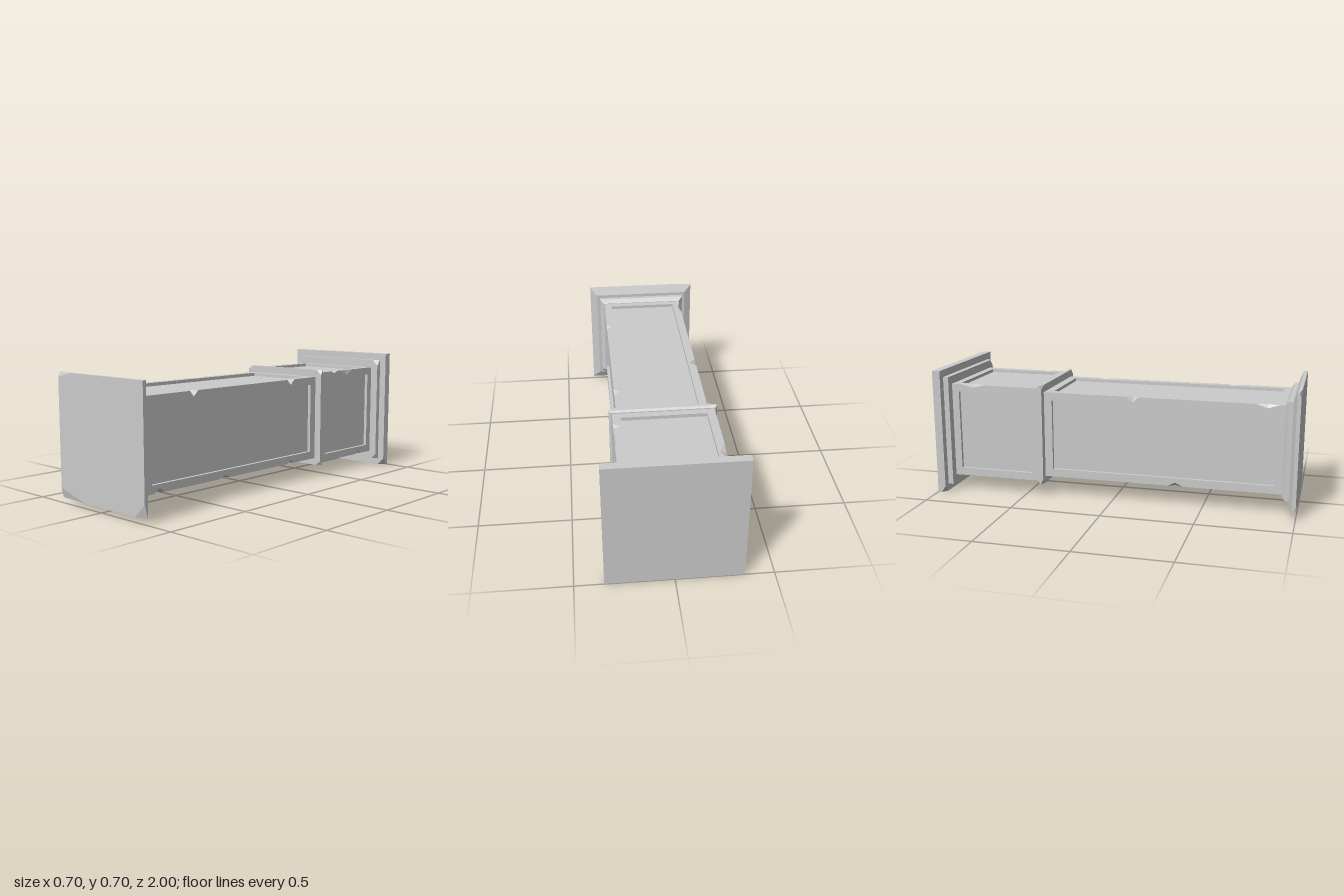
import * as THREE from 'three';
import { ConvexGeometry } from 'three/addons/geometries/ConvexGeometry.js';

const material = new THREE.MeshStandardMaterial({ color: 0xcccccc, flatShading: true });
const CENTRE_Y = 0.35;
const PANEL_DEPTH = 0.018;

function addMesh(group, name, geometry) {
  const mesh = new THREE.Mesh(geometry, material);
  mesh.name = name;
  mesh.position.y = CENTRE_Y;
  group.add(mesh);
}

// Square slab along z. profile: [z, halfWidth]; chops: [profileIndex, signX, signY, alongX, alongY, alongZ]
function slab(profile, chops = []) {
  const points = [];
  profile.forEach(([z, h], i) => {
    for (const sx of [-1, 1]) for (const sy of [-1, 1]) {
      const chop = chops.find((c) => c[0] === i && c[1] === sx && c[2] === sy);
      if (!chop) {
        points.push(new THREE.Vector3(sx * h, sy * h, z));
        continue;
      }
      const [, , , ax, ay, az] = chop;
      points.push(
        new THREE.Vector3(sx * (h - ax), sy * h, z),
        new THREE.Vector3(sx * h, sy * (h - ay), z),
        new THREE.Vector3(sx * h, sy * h, z + az)
      );
    }
  });
  return new ConvexGeometry(points);
}

// Square block with a sunken panel on each side and notched long edges.
// chips[e]: list of [z, halfLength, cutOnFaceE, cutOnNextFace]; edges run (+x+y), (-x+y), (-x-y), (+x-y)
function panelBlock(h, z0, z1, panelHalf, p0, p1, chips) {
  const positions = [];
  const V2 = (x, y) => new THREE.Vector2(x, y);

  for (let k = 0; k < 4; k++) {
    // t runs across the face, z along the block, n outward
    const turn = new THREE.Matrix4().makeRotationZ((k * Math.PI) / 2);
    const tri = (...corners) => {
      for (const [t, z, n] of corners) {
        positions.push(...new THREE.Vector3(n, t, z).applyMatrix4(turn).toArray());
      }
    };
    const notches = (list, side, cutIndex) =>
      [...list].sort((a, b) => a[0] - b[0]).flatMap((c) => [
        V2(side * h, c[0] - c[1]),
        V2(side * (h - c[cutIndex]), c[0]),
        V2(side * h, c[0] + c[1]),
      ]);

    // frame around the panel
    const outline = [
      V2(-h, z0), V2(h, z0), ...notches(chips[k], 1, 2),
      V2(h, z1), V2(-h, z1), ...notches(chips[(k + 3) % 4], -1, 3).reverse(),
    ];
    const rect = [V2(-panelHalf, p0), V2(panelHalf, p0), V2(panelHalf, p1), V2(-panelHalf, p1)];
    const hole = [...rect].reverse();
    const all = [...outline, ...hole];
    for (const face of THREE.ShapeUtils.triangulateShape(outline, [hole])) {
      tri(...face.map((i) => [all[i].x, all[i].y, h]));
    }

    // panel walls and floor
    const top = rect.map((p) => [p.x, p.y, h]);
    const low = rect.map((p) => [p.x, p.y, h - PANEL_DEPTH]);
    for (let i = 0; i < 4; i++) {
      const j = (i + 1) % 4;
      tri(top[i], top[j], low[j]);
      tri(top[i], low[j], low[i]);
    }
    tri(low[0], low[1], low[2]);
    tri(low[0], low[2], low[3]);

    // cut facets of the chips
    for (const [z, w, a, b] of chips[k]) {
      const onFace = [h - a, z, h];
      const onNext = [h, z, h - b];
      tri([h, z - w, h], onNext, onFace);
      tri([h, z + w, h], onFace, onNext);
    }
  }
  const geometry = new THREE.BufferGeometry();
  geometry.setAttribute('position', new THREE.Float32BufferAttribute(positions, 3));
  geometry.computeVertexNormals();
  return geometry;
}

export function createModel() {
  const group = new THREE.Group();
  group.name = 'pillar';

  // base plate and step
  addMesh(group, 'basePlate', slab([[-1, 0.35], [-0.955, 0.35]], [
    [1, 1, -1, 0.04, 0.04, -0.035],
    [1, -1, -1, 0.032, 0.036, -0.025],
  ]));
  addMesh(group, 'baseStep', slab([[-0.956, 0.31], [-0.925, 0.31]], [
    [1, 1, 1, 0.035, 0.035, -0.025],
    [1, 1, -1, 0.03, 0.03, -0.02],
  ]));

  // pedestal
  addMesh(group, 'pedestal', panelBlock(0.265, -0.926, -0.415, 0.222, -0.885, -0.46, [
    [[-0.54, 0.03, 0.012, 0.035], [-0.66, 0.06, 0.03, 0.006]],
    [[-0.8, 0.07, 0.035, 0.015]],
    [],
    [[-0.8, 0.03, 0.015, 0.035]],
  ]));

  // collar
  addMesh(group, 'collar', slab([[-0.42, 0.27], [-0.41, 0.28], [-0.39, 0.28]], [
    [2, 1, 1, 0.03, 0.03, -0.015],
    [2, -1, 1, 0.05, 0.02, -0.015],
    [2, 1, -1, 0.03, 0.025, -0.015],
    [2, -1, -1, 0.03, 0.03, -0.015],
  ]));

  // shaft
  addMesh(group, 'shaft', panelBlock(0.24, -0.395, 0.922, 0.196, -0.345, 0.88, [
    [[-0.165, 0.032, 0.03, 0.03], [0.595, 0.032, 0.03, 0.03]],
    [[0.11, 0.035, 0.035, 0.03], [0.83, 0.06, 0.014, 0.02]],
    [[0.35, 0.04, 0.02, 0.02]],
    [[-0.17, 0.03, 0.025, 0.022], [0.37, 0.05, 0.03, 0.015], [0.83, 0.035, 0.03, 0.025]],
  ]));

  // head moulding and plate
  addMesh(group, 'headMoulding', slab([[0.918, 0.243], [0.937, 0.265], [0.966, 0.265]], [
    [1, 1, -1, 0.02, 0.02, 0.015],
  ]));
  addMesh(group, 'headPlate', slab([[0.961, 0.283], [0.98, 0.325], [1, 0.325]], [
    [2, -1, -1, 0.2, 0.05, -0.012],
    [2, 1, -1, 0.07, 0.07, -0.018],
    [2, -1, 1, 0.1, 0.025, -0.01],
  ]));

  return group;
}
